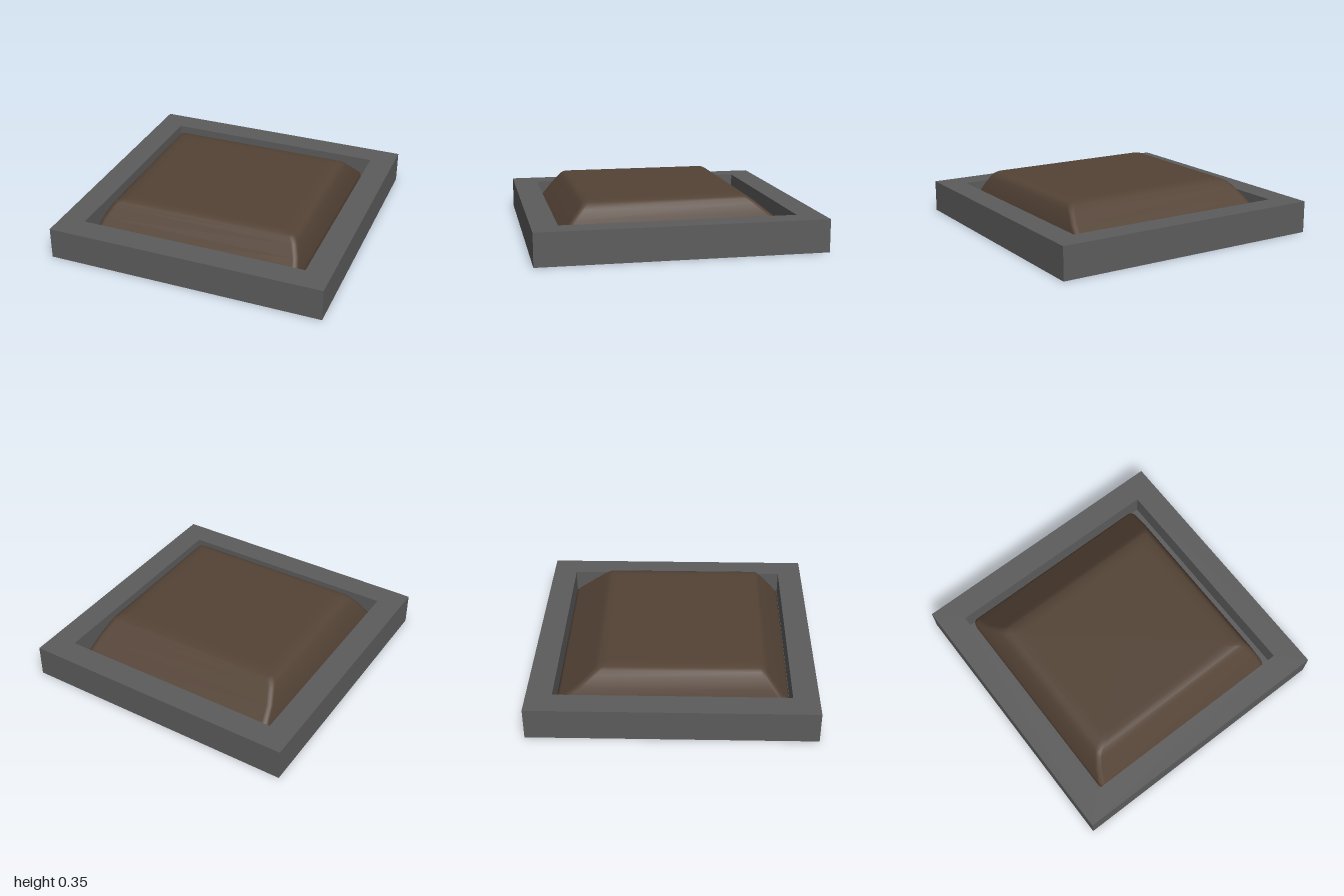
import * as THREE from 'three';

const stone = new THREE.MeshStandardMaterial({ color: 0x5c5c5c });
stone.name = 'dark grey';
const brown = new THREE.MeshStandardMaterial({ color: 0x544336 });
brown.name = 'brown';

// Points of a rounded rectangle, anticlockwise from +x towards +z
function roundedLoop(x0, x1, z0, z1, r, steps = 4) {
  const points = [];
  const corners = [[x1 - r, z1 - r], [x0 + r, z1 - r], [x0 + r, z0 + r], [x1 - r, z0 + r]];
  corners.forEach(([cx, cz], q) => {
    for (let i = 0; i <= steps; i++) {
      const a = (q + i / steps) * Math.PI / 2;
      points.push([cx + r * Math.cos(a), cz + r * Math.sin(a)]);
    }
  });
  return points;
}

// Skin over stacked rounded rectangles, closed at the top
function loftGeometry(sections) {
  const pos = [], index = [];
  let n = 0;
  for (const [y, x0, x1, z0, z1, r] of sections) {
    const loop = roundedLoop(x0, x1, z0, z1, r);
    n = loop.length;
    for (const [x, z] of loop) pos.push(x, y, z);
  }
  for (let s = 0; s < sections.length - 1; s++) {
    for (let i = 0; i < n; i++) {
      const a = s * n + i, b = s * n + (i + 1) % n;
      index.push(a, a + n, b, b, a + n, b + n);
    }
  }
  const [y, x0, x1, z0, z1] = sections[sections.length - 1];
  const last = (sections.length - 1) * n, centre = pos.length / 3;
  pos.push((x0 + x1) / 2, y, (z0 + z1) / 2);
  for (let i = 0; i < n; i++) index.push(centre, last + (i + 1) % n, last + i);
  const g = new THREE.BufferGeometry();
  g.setAttribute('position', new THREE.Float32BufferAttribute(pos, 3));
  g.setIndex(index);
  g.computeVertexNormals();
  return g;
}

function square(path, h) {
  path.moveTo(-h, -h);
  path.lineTo(h, -h);
  path.lineTo(h, h);
  path.lineTo(-h, h);
  path.closePath();
  return path;
}

export function createModel() {
  const model = new THREE.Group();
  const add = (name, geometry, material) => {
    const mesh = new THREE.Mesh(geometry, material);
    mesh.name = name;
    model.add(mesh);
  };

  // Square frame around the recess
  const outline = square(new THREE.Shape(), 1);
  outline.holes.push(square(new THREE.Path(), 0.82));
  const frame = new THREE.ExtrudeGeometry(outline, { depth: 0.23, bevelEnabled: false });
  frame.rotateX(-Math.PI / 2);
  add('frame', frame, stone);

  // Floor of the recess
  add('floor', new THREE.BoxGeometry(1.64, 0.06, 1.64).translate(0, 0.03, 0), stone);

  // Cushioned mound: y, left and right x, back and front z, corner radius
  add('mound', loftGeometry([
    [0.06, -0.775, 0.76, -0.81, 0.81, 0.04],
    [0.11, -0.775, 0.76, -0.81, 0.81, 0.04],
    [0.13, -0.77, 0.757, -0.79, 0.795, 0.04],
    [0.23, -0.735, 0.73, -0.66, 0.72, 0.035],
    [0.30, -0.695, 0.70, -0.575, 0.665, 0.035],
    [0.33, -0.67, 0.68, -0.535, 0.64, 0.035],
    [0.343, -0.64, 0.655, -0.51, 0.62, 0.035],
    [0.35, -0.59, 0.60, -0.46, 0.59, 0.03],
    [0.35, -0.55, 0.56, -0.42, 0.55, 0.03],
  ]), brown);

  return model;
}
